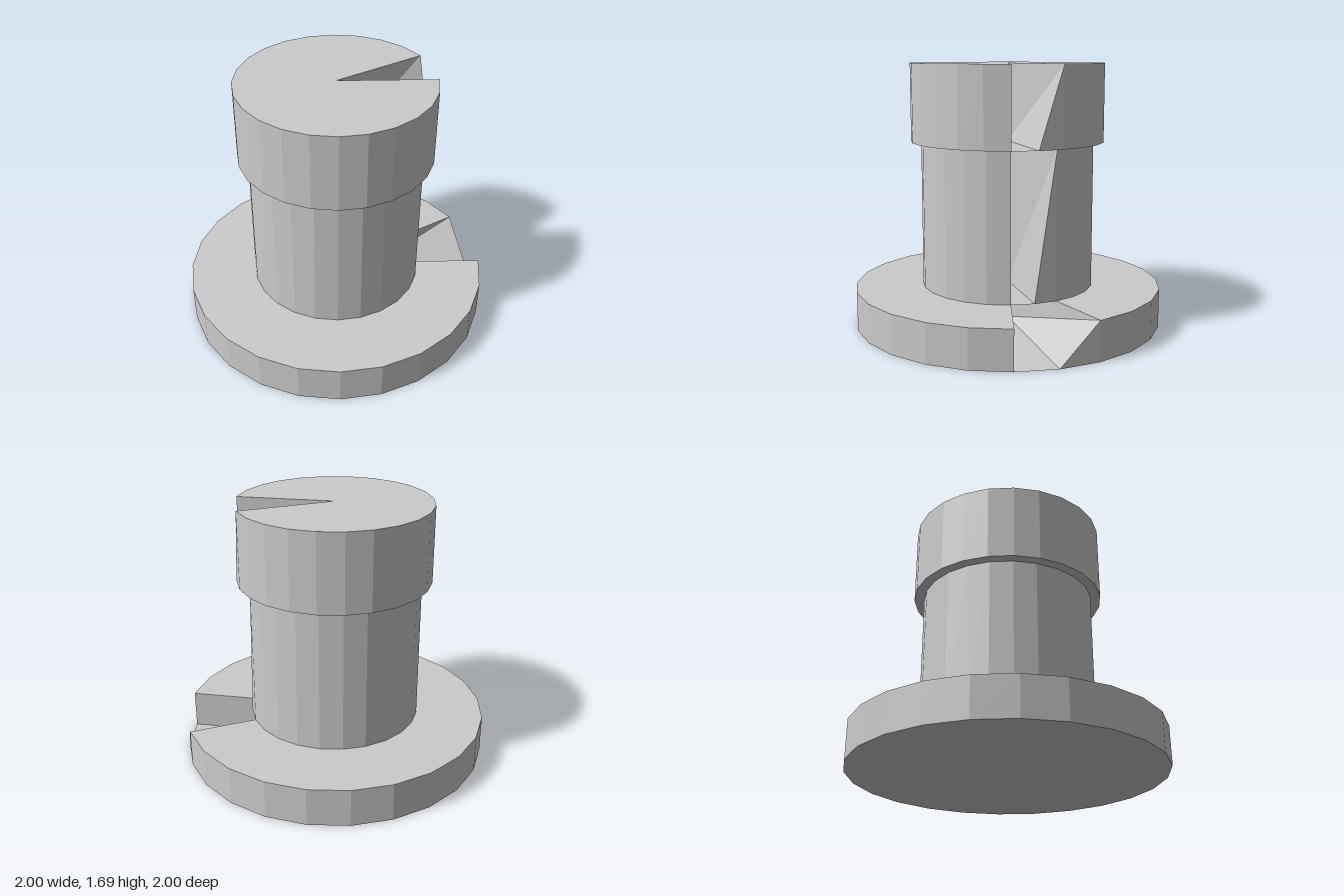
import * as THREE from 'three';

const SIDES = 24;

// Flat-shaded drum standing on y0, with a wedge notch cut out of its +x side.
// The notch is open from 0 to 30 degrees at the top and 0 to 15 at the bottom.
function notchedDrum(name, radius, y0, y1) {
  const point = (i, y) => {
    const a = (i / SIDES) * Math.PI * 2;
    return [radius * Math.cos(a), y, -radius * Math.sin(a)];
  };
  const low = (i) => point(i % SIDES, y0);
  const high = (i) => point(i % SIDES, y1);
  const lowMid = [0, y0, 0];
  const highMid = [0, y1, 0];
  const positions = [];
  const tri = (a, b, c) => positions.push(...a, ...b, ...c);

  for (let i = 0; i < SIDES; i++) {
    // full floor disc
    tri(lowMid, low(i + 1), low(i));
    // outer wall, slanting along the notch edge
    if (i >= 1) tri(low(i), low(i + 1), high(i + 1));
    if (i >= 2) {
      tri(low(i), high(i + 1), high(i));
      // top cap
      tri(highMid, high(i), high(i + 1));
    }
  }

  // upright notch wall
  tri(lowMid, high(0), low(0));
  tri(lowMid, highMid, high(0));
  // twisted notch wall
  tri(lowMid, low(1), high(2));
  tri(lowMid, high(2), highMid);

  const geometry = new THREE.BufferGeometry();
  geometry.setAttribute('position', new THREE.Float32BufferAttribute(positions, 3));
  geometry.computeVertexNormals();
  const material = new THREE.MeshStandardMaterial({
    color: 0xcccccc, flatShading: true, side: THREE.DoubleSide,
  });
  const mesh = new THREE.Mesh(geometry, material);
  mesh.name = name;
  return mesh;
}

export function createModel() {
  const group = new THREE.Group();
  group.name = 'notchedPeg';
  group.add(
    notchedDrum('baseFlange', 1, 0, 0.25),
    notchedDrum('column', 0.56, 0.25, 1.19),
    notchedDrum('head', 0.625, 1.19, 1.69),
  );
  return group;
}
